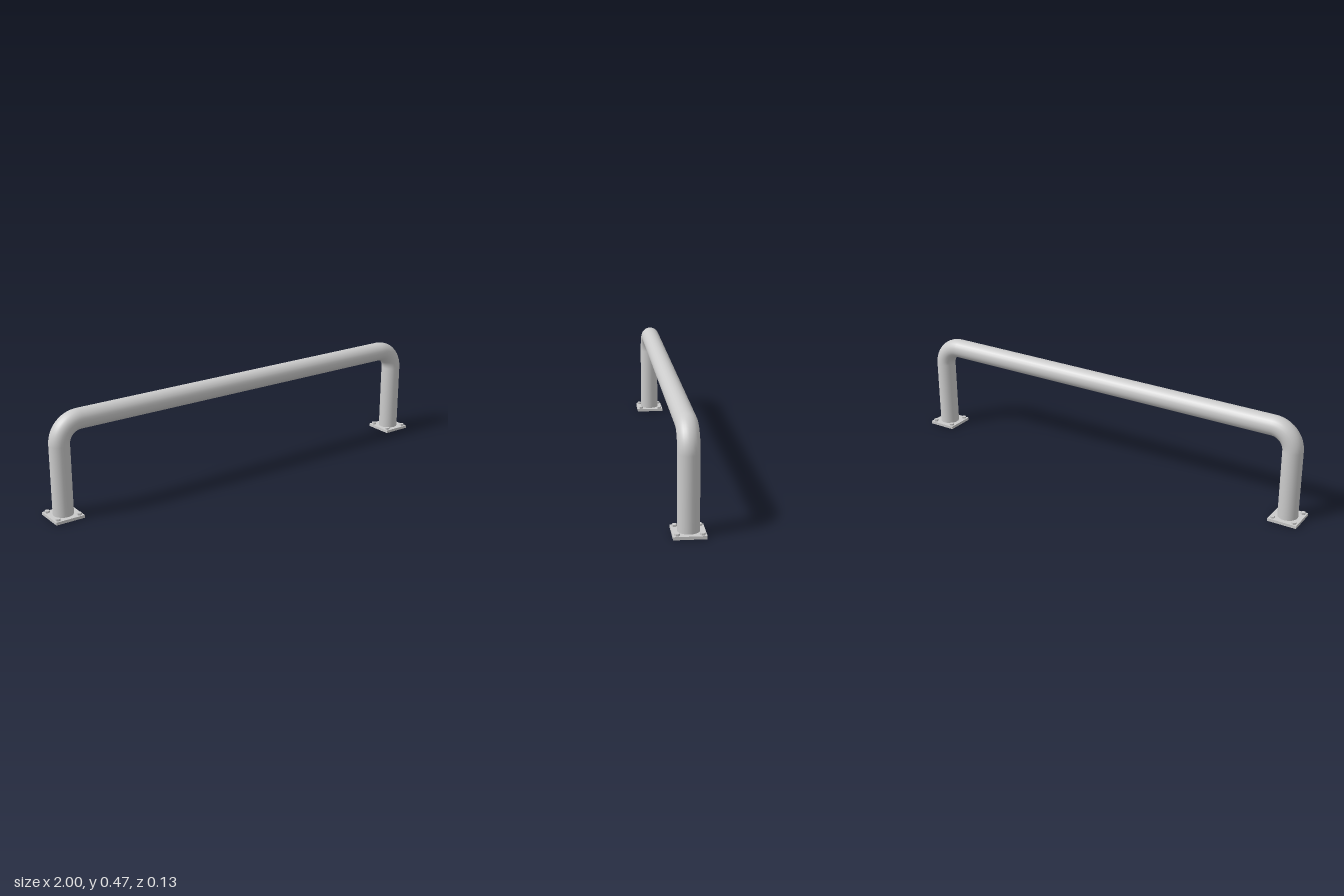
import * as THREE from 'three';

const LEG_X = 0.933, RAIL_Y = 0.422, TUBE_R = 0.045, BEND_R = 0.095;
const PLATE = 0.133, PLATE_H = 0.013, SIDES = 24;

export function createModel() {
  const model = new THREE.Group();
  model.name = 'tubularBarrier';
  const smooth = new THREE.MeshStandardMaterial({ color: 0xcccccc, side: THREE.DoubleSide });
  const flat = new THREE.MeshStandardMaterial({ color: 0xcccccc, side: THREE.DoubleSide, flatShading: true });

  const add = (parent, name, geometry, material, x = 0, y = 0, z = 0) => {
    const mesh = new THREE.Mesh(geometry, material);
    mesh.name = name;
    mesh.position.set(x, y, z);
    parent.add(mesh);
    return mesh;
  };

  // Horizontal rail between the two bends
  const railLength = 2 * (LEG_X - BEND_R);
  add(model, 'rail', new THREE.CylinderGeometry(TUBE_R, TUBE_R, railLength, SIDES, 1, true)
    .rotateZ(Math.PI / 2), smooth, 0, RAIL_Y);

  // Leg, bend and foot geometry, shared by both ends
  const legTop = RAIL_Y - BEND_R, legHeight = legTop - PLATE_H;
  const legGeo = new THREE.CylinderGeometry(TUBE_R, TUBE_R, legHeight, SIDES, 1, true);
  const bendGeo = new THREE.TorusGeometry(BEND_R, TUBE_R, SIDES, 14, Math.PI / 2);

  // Foot plate: hollow underneath, with a hole where the tube meets it
  const h = PLATE / 2;
  const outline = new THREE.Shape().moveTo(-h, -h).lineTo(h, -h).lineTo(h, h).lineTo(-h, h).closePath();
  outline.holes.push(new THREE.Path().absarc(0, 0, TUBE_R, 0, Math.PI * 2, true));
  const plateTopGeo = new THREE.ShapeGeometry(outline, SIDES / 2).rotateX(-Math.PI / 2);
  const plateRimGeo = new THREE.CylinderGeometry(h * Math.SQRT2, h * Math.SQRT2, PLATE_H, 4, 1, true)
    .rotateY(Math.PI / 4);
  const boltGeo = new THREE.CylinderGeometry(0.011, 0.011, 0.009, 6);

  for (const side of [-1, 1]) {
    const end = new THREE.Group();
    end.name = side > 0 ? 'leftEnd' : 'rightEnd';
    end.position.x = side * LEG_X;
    model.add(end);

    add(end, 'leg', legGeo, smooth, 0, PLATE_H + legHeight / 2);
    const bend = add(end, 'bend', bendGeo, smooth, -side * BEND_R, legTop);
    if (side < 0) bend.rotation.y = Math.PI;

    add(end, 'footPlateTop', plateTopGeo, flat, 0, PLATE_H);
    add(end, 'footPlateRim', plateRimGeo, flat, 0, PLATE_H / 2);

    // Hex bolt heads in the four corners
    for (const bx of [-0.05, 0.05])
      for (const bz of [-0.05, 0.05])
        add(end, 'bolt', boltGeo, flat, bx, PLATE_H + 0.0045, bz);
  }
  return model;
}
